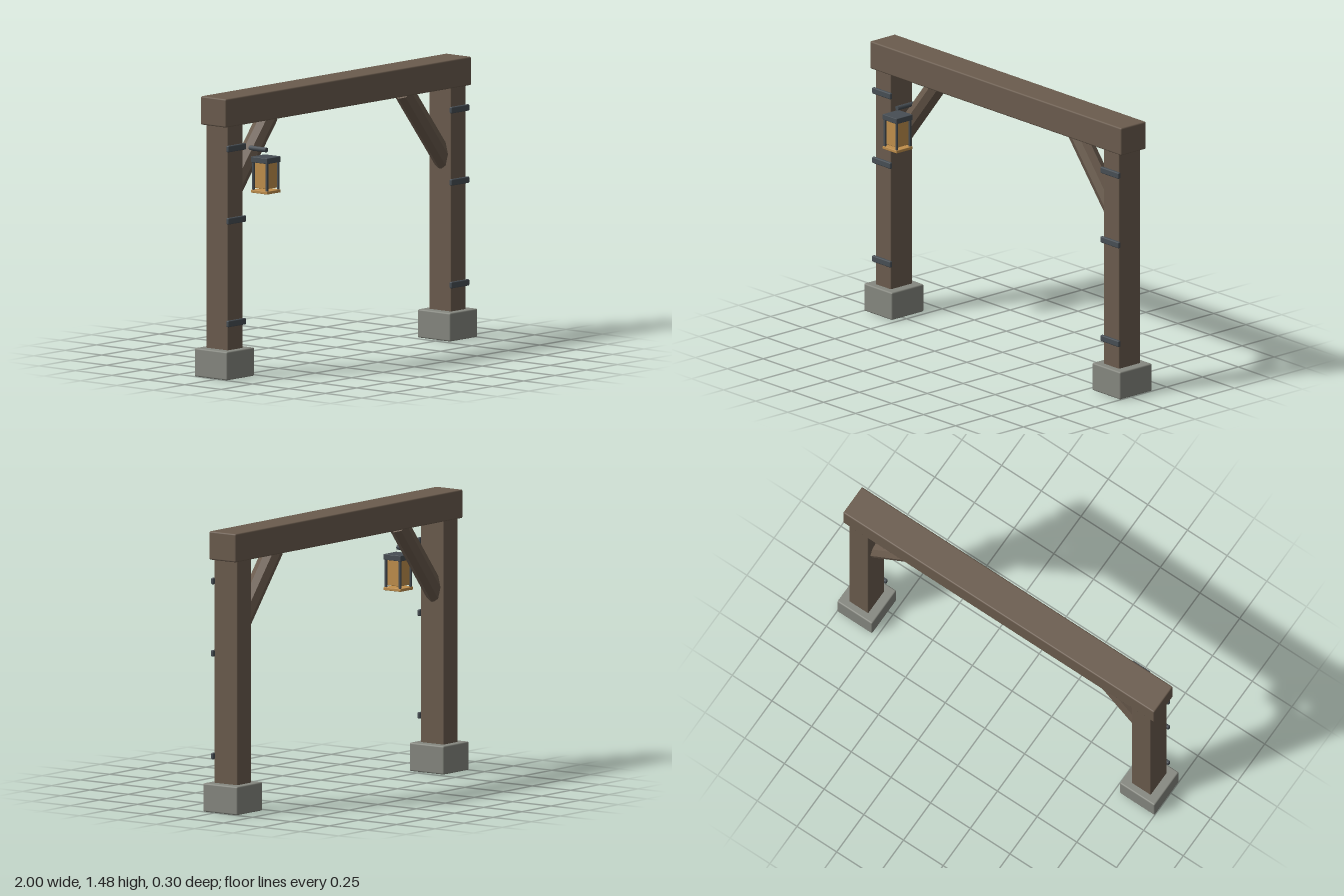
import * as THREE from 'three';
import { RoundedBoxGeometry } from 'three/addons/geometries/RoundedBoxGeometry.js';

const material = (color) => new THREE.MeshStandardMaterial({ color });

export function createModel() {
  const model = new THREE.Group();
  model.name = 'timberGateway';
  const wood = material(0x6b5c4e);
  const stone = material(0x868880);
  const iron = material(0x474e54);
  const glass = material(0xc08f4c);
  const midZ = -0.0375;

  // Box with softened edges, placed by its centre
  function block(parent, name, size, position, mat, radius = 0.008) {
    const mesh = new THREE.Mesh(new RoundedBoxGeometry(...size, 2, radius), mat);
    mesh.name = name;
    mesh.position.set(...position);
    parent.add(mesh);
    return mesh;
  }

  // Round bar between two points
  function bar(parent, name, from, to, radius, sides, mat) {
    const a = new THREE.Vector3(...from), b = new THREE.Vector3(...to);
    const dir = b.clone().sub(a);
    const mesh = new THREE.Mesh(new THREE.CylinderGeometry(radius, radius, dir.length(), sides), mat);
    mesh.name = name;
    mesh.position.copy(a).add(b).multiplyScalar(0.5);
    mesh.quaternion.setFromUnitVectors(new THREE.Vector3(0, 1, 0), dir.normalize());
    parent.add(mesh);
    return mesh;
  }

  // Lintel across both posts
  block(model, 'topBeam', [1.96, 0.15, 0.175], [0, 1.4, midZ], wood);

  // Each side: footing, post, iron straps and diagonal brace
  const braceWood = wood.clone();
  braceWood.flatShading = true;
  for (const [side, s] of [['right', -1], ['left', 1]]) {
    const support = new THREE.Group();
    support.name = side + 'Support';
    block(support, 'stoneFooting', [0.22, 0.15, 0.225], [s * 0.89, 0.075, midZ], stone);
    block(support, 'post', [0.12, 1.34, 0.15], [s * 0.89, 0.671, midZ], wood, 0.005);
    for (const y of [0.29, 0.83, 1.21]) {
      block(support, 'ironStrap', [0.143, 0.034, 0.018], [s * 0.89, y, 0.044], iron, 0.006);
    }
    bar(support, 'brace', [s * 0.868, 0.928, midZ], [s * 0.541, 1.333, midZ], 0.054, 8, braceWood);
    model.add(support);
  }

  // Lantern hung beside the right post
  const lantern = new THREE.Group();
  lantern.name = 'lantern';
  lantern.position.set(-0.713, 0, 0.095);
  block(lantern, 'lanternCap', [0.11, 0.03, 0.112], [0, 1.134, 0], iron, 0.003);
  block(lantern, 'lanternGlass', [0.085, 0.135, 0.085], [0, 1.052, 0], glass, 0.003);
  block(lantern, 'lanternBase', [0.11, 0.016, 0.112], [0, 0.967, 0], glass, 0.003);
  for (const x of [-1, 1]) {
    for (const z of [-1, 1]) {
      block(lantern, 'lanternCornerRod', [0.012, 0.15, 0.012], [x * 0.045, 1.047, z * 0.046], iron, 0.002);
    }
  }
  bar(lantern, 'hangingArm', [0, 1.183, -0.11], [0, 1.183, 0.005], 0.013, 8, iron);
  model.add(lantern);

  return model;
}
